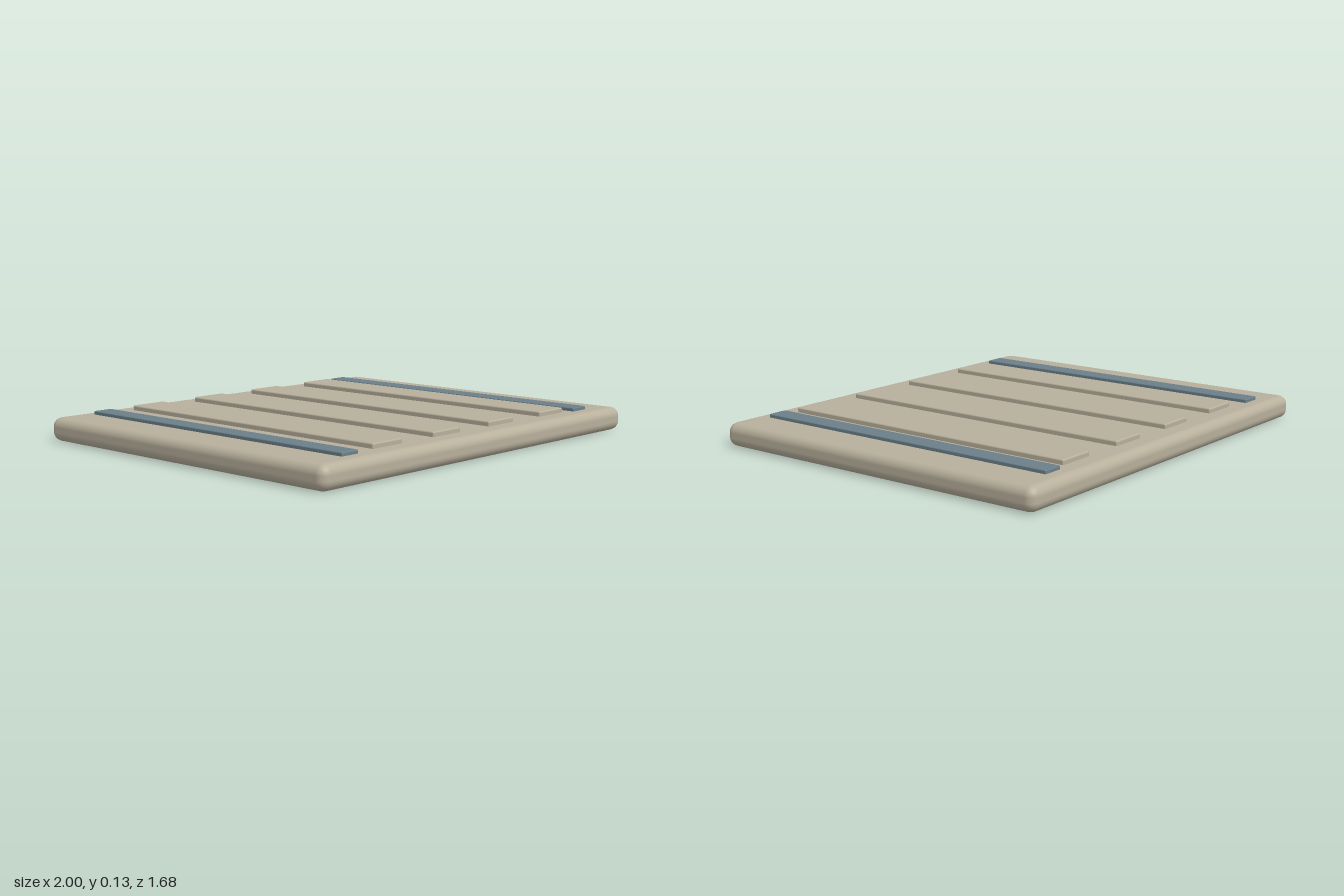
import * as THREE from 'three';
import { RoundedBoxGeometry } from 'three/addons/geometries/RoundedBoxGeometry.js';

export function createModel() {
  const model = new THREE.Group();
  model.name = 'ribbedPanel';
  const beige = new THREE.MeshStandardMaterial({ color: 0xb8b09c });
  const blue = new THREE.MeshStandardMaterial({ color: 0x6b808a });

  // Rounded box given by its centre x, bottom, top, width and depth
  function addBlock(name, x, bottom, top, width, depth, radius, segments, material) {
    const geometry = new RoundedBoxGeometry(width, top - bottom, depth, segments, radius);
    const mesh = new THREE.Mesh(geometry, material);
    mesh.name = name;
    mesh.position.set(x, (bottom + top) / 2, 0);
    model.add(mesh);
  }

  // Main slab with softened edges
  addBlock('slab', 0, 0, 0.106, 2, 1.68, 0.042, 3, beige);

  // Four raised ribs, evenly spaced
  for (let i = 0; i < 4; i++) {
    addBlock(`rib${i + 1}`, -0.526 + i * 0.369, 0.098, 0.128, 0.176, 1.472, 0.007, 2, beige);
  }

  // Coloured edge strips, one on each side
  for (const [name, side] of [['leftStrip', 1], ['rightStrip', -1]]) {
    addBlock(name, side * 0.769, 0.098, 0.122, 0.094, 1.52, 0.005, 2, blue);
  }

  return model;
}
